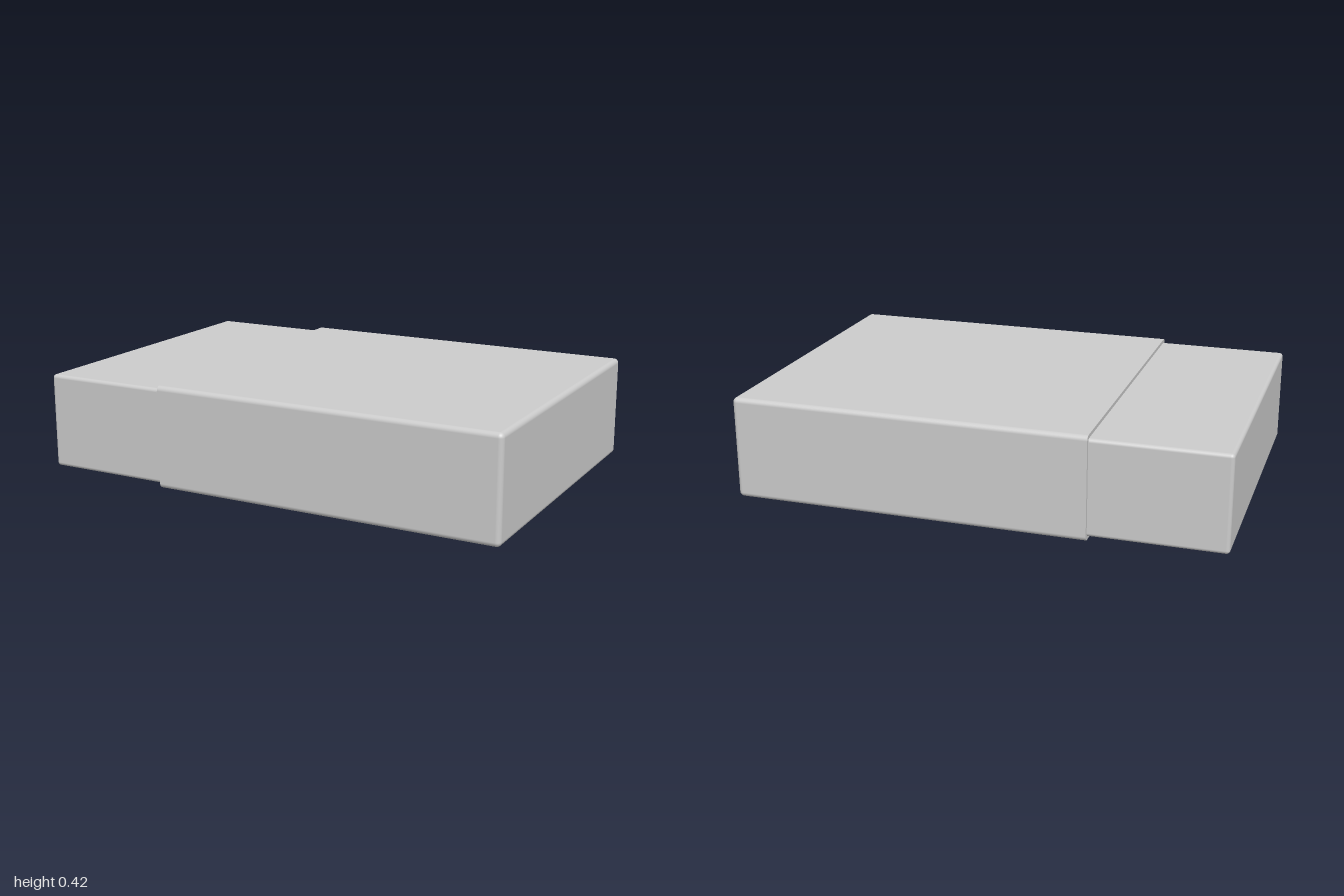
import * as THREE from 'three';
import { RoundedBoxGeometry } from 'three/addons/geometries/RoundedBoxGeometry.js';

const STEP_X = -0.46; // where the sleeve ends and the tray emerges

// Rounded box spanning x0..x1, centred on z and on height y
function roundedBlock(x0, x1, height, depth, y, radius) {
  const geo = new RoundedBoxGeometry(x1 - x0, height, depth, 4, radius);
  geo.translate((x0 + x1) / 2, y, 0);
  return geo;
}

// Flatten everything left of x onto a square-cut end
function squareCut(geo, x) {
  const pos = geo.attributes.position;
  const nor = geo.attributes.normal;
  for (let i = 0; i < pos.count; i++) {
    if (pos.getX(i) < x - 0.0005) {
      pos.setX(i, x);
      nor.setXYZ(i, -1, 0, 0);
    }
  }
  return geo;
}

export function createModel() {
  const group = new THREE.Group();
  group.name = 'slidingBox';
  const grey = new THREE.MeshStandardMaterial({ color: 0xcccccc });
  grey.name = 'light grey';

  // Outer sleeve: softly rounded edges, square cut at the open end
  const r = 0.02;
  const sleeve = new THREE.Mesh(
    squareCut(roundedBlock(STEP_X - r, 1, 0.423, 1.36, 0.2115, r), STEP_X), grey);
  sleeve.name = 'sleeve';

  // Slightly smaller tray sticking out of the sleeve
  const tray = new THREE.Mesh(
    roundedBlock(-1, STEP_X + 0.1, 0.393, 1.33, 0.2115, 0.015), grey);
  tray.name = 'tray';

  group.add(sleeve, tray);
  return group;
}
